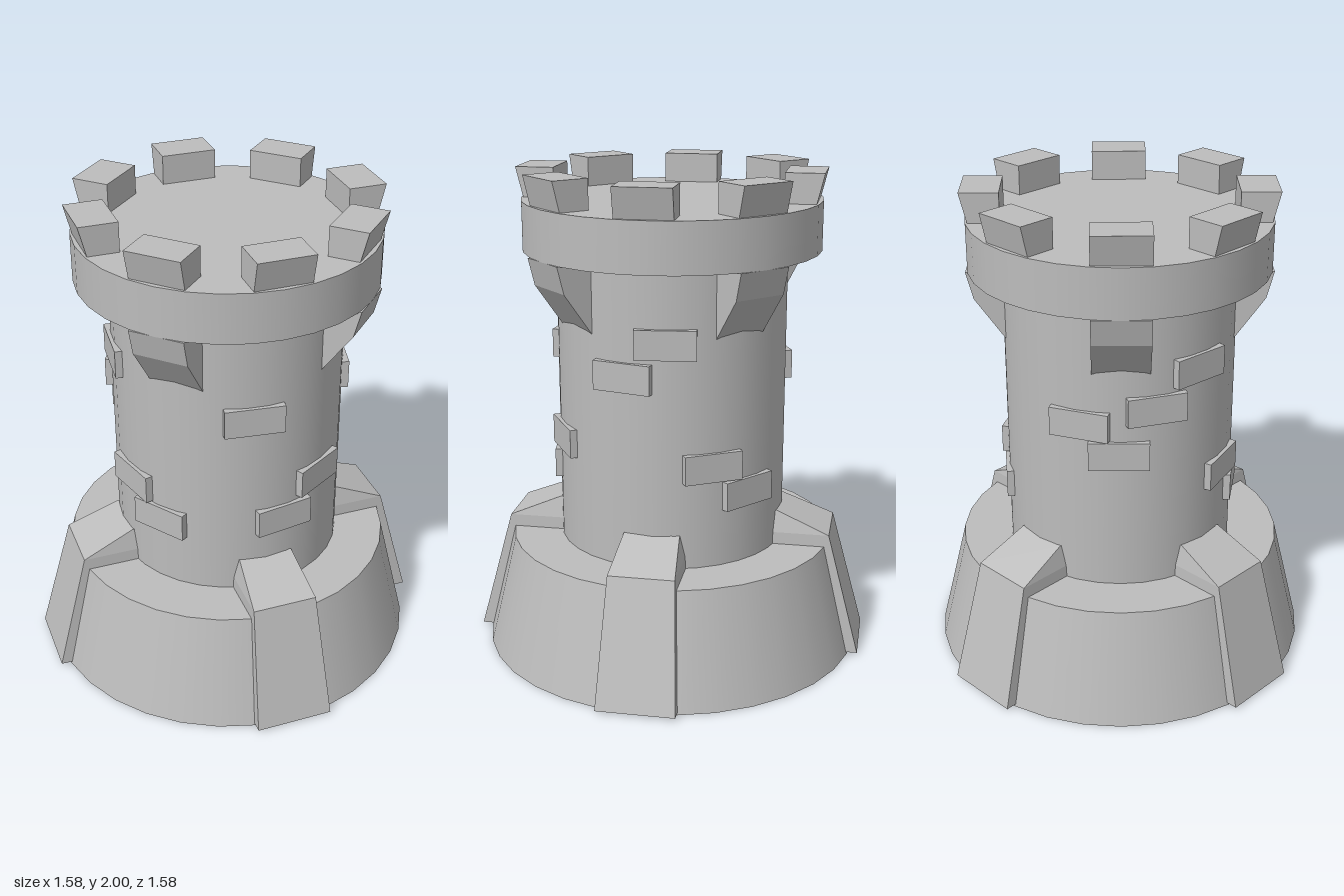
import * as THREE from 'three';

const stone = new THREE.MeshStandardMaterial({ color: 0xbcbcbc });
stone.name = 'stone';

const DEG = Math.PI / 180;

// Flat-faced block from sections [y, inner radius, outer radius, width], facing +z
function loft(sections) {
  const rings = sections.map(([y, rIn, rOut, w]) => [
    [-w / 2, y, rIn], [-w / 2, y, rOut], [w / 2, y, rOut], [w / 2, y, rIn],
  ]);
  const pos = [];
  const quad = (a, b, c, d) => [a, b, c, a, c, d].forEach((p) => pos.push(...p));
  for (let s = 0; s < rings.length - 1; s++) {
    for (let i = 0; i < 4; i++) {
      const j = (i + 1) % 4;
      quad(rings[s][i], rings[s][j], rings[s + 1][j], rings[s + 1][i]);
    }
  }
  const first = rings[0];
  quad(first[3], first[2], first[1], first[0]);
  quad(...rings[rings.length - 1]);
  const geometry = new THREE.BufferGeometry();
  geometry.setAttribute('position', new THREE.Float32BufferAttribute(pos, 3));
  geometry.computeVertexNormals();
  return geometry;
}

export function createModel() {
  const tower = new THREE.Group();
  tower.name = 'tower';

  const add = (name, geometry, angle = 0) => {
    const mesh = new THREE.Mesh(geometry, stone);
    mesh.name = name;
    mesh.rotation.y = angle * DEG;
    tower.add(mesh);
  };
  const drum = (name, rTop, rBottom, y0, y1) => {
    const geometry = new THREE.CylinderGeometry(rTop, rBottom, y1 - y0, 32);
    add(name, geometry.translate(0, (y0 + y1) / 2, 0));
  };

  // Round masses
  drum('base', 0.675, 0.79, 0, 0.47);
  drum('shaft', 0.47, 0.47, 0.45, 1.7);
  drum('parapet', 0.605, 0.605, 1.68, 1.88);

  // Diagonal buttresses with sloping caps
  const buttress = loft([
    [0.01, 0.44, 0.817, 0.318],
    [0.52, 0.44, 0.68, 0.265],
    [0.61, 0.44, 0.462, 0.225],
  ]);
  // Brackets under the parapet
  const corbel = loft([
    [1.4, 0.42, 0.454, 0.225],
    [1.57, 0.42, 0.575, 0.225],
    [1.68, 0.42, 0.603, 0.225],
  ]);
  for (let i = 0; i < 4; i++) {
    add('buttress', buttress, 45 + i * 90);
    add('corbel', corbel, i * 90);
  }

  // Battlements, leaning slightly outwards
  const merlon = loft([
    [1.87, 0.46, 0.583, 0.225],
    [2.0, 0.46, 0.615, 0.225],
  ]);
  for (let i = 0; i < 8; i++) add('merlon', merlon, i * 45);

  // Raised bricks: [angle from the front, centre height]
  const bricks = [
    [-10, 0.763], [-29.5, 0.888], [54, 0.79], [76, 0.928],
    [165, 0.888], [185, 0.763], [-50, 1.388], [-73, 1.25],
    [142, 1.388], [121, 1.25], [38, 1.27], [-110, 1.185], [-91, 1.06],
  ];
  for (const [angle, y] of bricks) {
    add('brick', new THREE.BoxGeometry(0.24, 0.118, 0.06).translate(0, y, 0.453), angle);
  }

  return tower;
}
